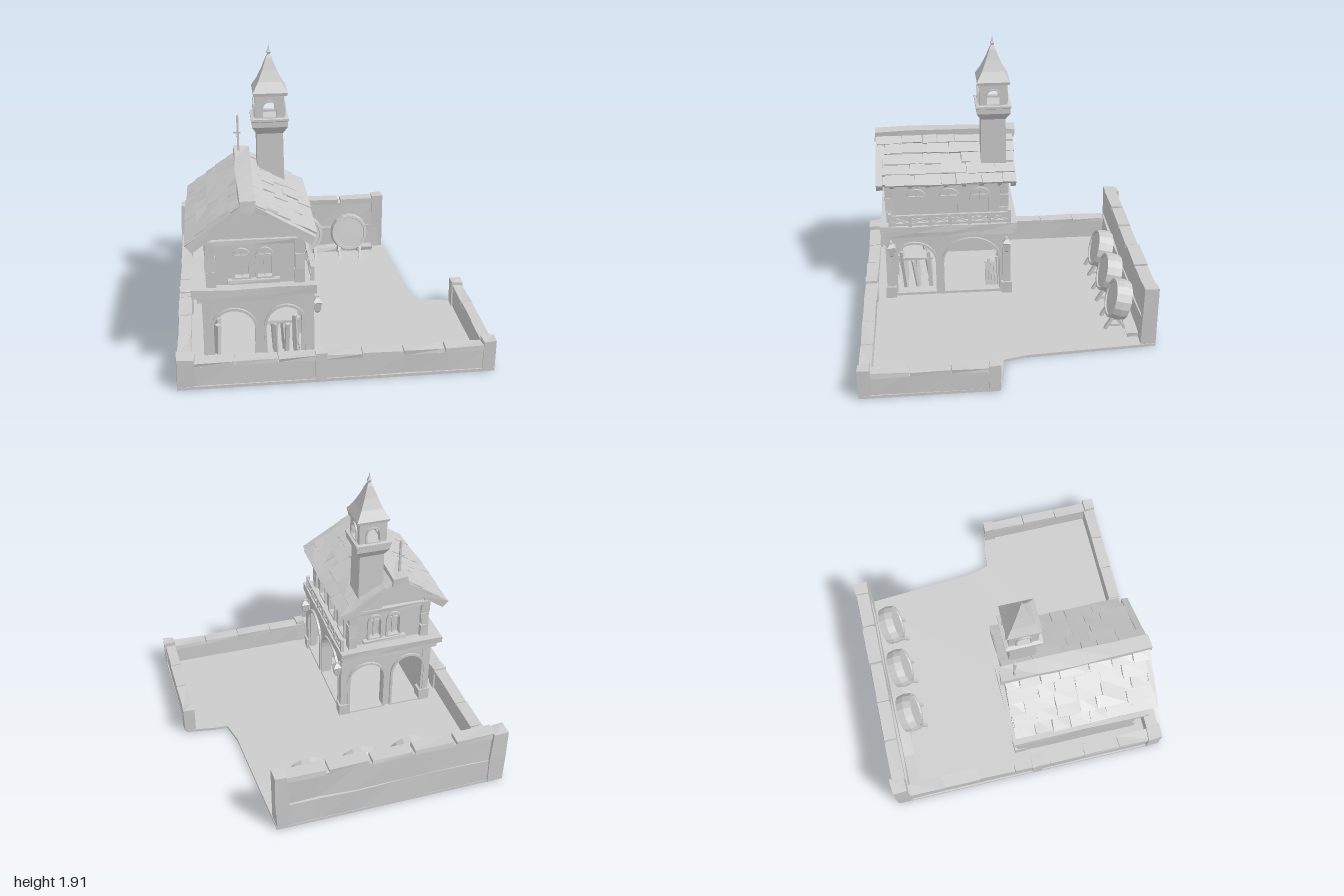
import * as THREE from 'three';

const mat = new THREE.MeshStandardMaterial({ color: 0xcccccc, flatShading: true, side: THREE.DoubleSide });
let seed = 7;
const rnd = () => (seed = (seed * 16807) % 2147483647) / 2147483647;

function add(parent, name, geo) {
  const m = new THREE.Mesh(geo, mat);
  m.name = name;
  parent.add(m);
  return m;
}

// Moves vertices a little; corners sharing a position move together
function roughen(geo, amount) {
  const p = geo.attributes.position, moved = new Map();
  for (let i = 0; i < p.count; i++) {
    const k = [p.getX(i), p.getY(i), p.getZ(i)].map(v => v.toFixed(3)).join();
    if (!moved.has(k)) moved.set(k, [0, 0, 0].map(() => (rnd() - 0.5) * 2 * amount));
    const d = moved.get(k);
    p.setXYZ(i, p.getX(i) + d[0], p.getY(i) + d[1], p.getZ(i) + d[2]);
  }
  geo.computeVertexNormals();
  return geo;
}

// Rough-hewn block given by its bounds
function block(parent, name, x0, x1, y0, y1, z0, z1, rough = 0.004) {
  const n = l => Math.max(1, Math.round(l / 0.25));
  const w = x1 - x0, h = y1 - y0, d = z1 - z0;
  const m = add(parent, name, roughen(new THREE.BoxGeometry(w, h, d, n(w), n(h), n(d)), rough));
  m.position.set((x0 + x1) / 2, (y0 + y1) / 2, (z0 + z1) / 2);
  return m;
}

// Square beam between two points
function beam(parent, name, a, b, t) {
  const A = new THREE.Vector3(...a), B = new THREE.Vector3(...b);
  const m = add(parent, name, new THREE.BoxGeometry(t, t, A.distanceTo(B)));
  m.position.copy(A).lerp(B, 0.5);
  m.lookAt(B);
  return m;
}

// Opening with an elliptical head: centre x, width, sill, spring line, top
function archPath(Type, [x, w, y0, ys, top], grow = 0) {
  const p = new Type(), r = w / 2 + grow;
  p.moveTo(x - r, y0 - grow);
  p.lineTo(x + r, y0 - grow);
  p.lineTo(x + r, ys);
  p.absellipse(x, ys, r, top - ys + grow, 0, Math.PI, false);
  p.closePath();
  return p;
}
const extrude = (shape, depth) => new THREE.ExtrudeGeometry(shape, { depth, bevelEnabled: false, curveSegments: 7 });

function wall(parent, name, outline, arches, depth) {
  const s = new THREE.Shape(outline.map(p => new THREE.Vector2(...p)));
  s.holes = arches.map(a => archPath(THREE.Path, a));
  return add(parent, name, extrude(s, depth));
}
function trim(parent, name, a, z, grow = 0.016) {
  const s = archPath(THREE.Shape, a, grow);
  s.holes = [archPath(THREE.Path, a)];
  add(parent, name, extrude(s, 0.018)).position.z = z;
}
// Frame, recessed pane and glazing bars; outward is +z
function windowUnit(parent, a, z) {
  trim(parent, 'windowFrame', a, z, 0.014);
  add(parent, 'windowPane', extrude(archPath(THREE.Shape, a), 0.008)).position.z = z - 0.035;
  block(parent, 'windowBar', a[0] - 0.005, a[0] + 0.005, a[2], a[4], z - 0.025, z - 0.012, 0);
  block(parent, 'windowBar', a[0] - a[1] / 2, a[0] + a[1] / 2, a[3] - 0.005, a[3] + 0.005, z - 0.025, z - 0.012, 0);
}
const rect = (x0, x1, y0, y1) => [[x0, y0], [x1, y0], [x1, y1], [x0, y1]];

// Four-sided turned form from [half width, height] pairs
function squareForm(parent, name, pts, x, z) {
  const geo = new THREE.LatheGeometry(pts.map(([r, y]) => new THREE.Vector2(r * Math.SQRT2, y)), 4);
  const m = add(parent, name, geo.rotateY(Math.PI / 4));
  m.position.set(x, 0, z);
  return m;
}

function buildYard(g) {
  const outline = [[-0.99, -0.98], [0.59, -0.98], [0.63, -0.4], [0.65, -0.1], [0.69, 0.06], [0.78, 0.065], [0.98, 0.1], [0.99, 0.99], [-0.99, 0.99]];
  const slab = new THREE.Shape(outline.map(([x, z]) => new THREE.Vector2(x, -z)));
  add(g, 'ground', extrude(slab, 0.02).rotateX(-Math.PI / 2));
  // Back wall in two courses
  block(g, 'backWall', -0.97, 0.57, 0.01, 0.2, -0.98, -0.88, 0.006);
  block(g, 'backWall', -0.97, 0.57, 0.2, 0.4, -0.97, -0.89, 0.006);
  for (let i = 0; i < 5; i++) block(g, 'backCoping', -0.9 + i * 0.29, -0.63 + i * 0.29, 0.395, 0.42 + rnd() * 0.02, -0.975, -0.885);
  block(g, 'backFooting', -0.9, 0.5, 0.01, 0.05, -0.9, -0.8, 0.012);
  // Low walls with capstones
  block(g, 'leftWall', -0.98, -0.91, 0.01, 0.17, -0.9, 0.92);
  block(g, 'frontWall', -0.9, 0.95, 0.01, 0.15, 0.91, 0.98);
  block(g, 'rightWall', 0.92, 0.98, 0.01, 0.15, 0.14, 0.95);
  for (let i = 0; i < 7; i++) {
    block(g, 'capstone', -0.985, -0.9, 0.165, 0.19, -0.89 + i * 0.26, -0.635 + i * 0.26);
    block(g, 'capstone', -0.89 + i * 0.26, -0.635 + i * 0.26, 0.15, 0.18, 0.9, 0.985);
  }
  for (let i = 0; i < 3; i++) block(g, 'capstone', 0.915, 0.985, 0.15, 0.18, 0.15 + i * 0.26, 0.405 + i * 0.26);
  // Posts: x0, x1, height, z0, z1
  for (const [x0, x1, h, z0, z1] of [[-0.99, -0.88, 0.43, -0.99, -0.89], [0.51, 0.59, 0.45, -0.98, -0.88], [-0.99, -0.88, 0.21, 0.89, 0.99],
    [0.91, 0.99, 0.21, 0.91, 0.99], [0.91, 0.99, 0.2, 0.1, 0.17], [-0.14, -0.07, 0.2, 0.9, 0.99], [-0.99, -0.9, 0.2, 0.02, 0.09]])
    block(g, 'wallPost', x0, x1, 0.01, h, z0, z1, 0.006);
}

function buildCask(g, x) {
  const cask = new THREE.Group();
  cask.name = 'cask';
  const prof = [[0, -0.045], [0.115, -0.045], [0.118, -0.055], [0.135, -0.055], [0.145, 0], [0.135, 0.055], [0.118, 0.055], [0.115, 0.045], [0, 0.045]];
  const body = add(cask, 'caskBody', new THREE.LatheGeometry(prof.map(p => new THREE.Vector2(...p)), 16).rotateX(Math.PI / 2));
  body.position.set(0, 0.205, 0);
  body.rotation.x = -0.25;
  for (const s of [-1, 1]) {
    beam(cask, 'caskLeg', [s * 0.08, 0.02, 0.1], [s * 0.08, 0.13, 0.04], 0.022);
    beam(cask, 'caskLeg', [s * 0.08, 0.02, -0.04], [s * 0.08, 0.13, 0.04], 0.022);
    beam(cask, 'caskBrace', [s * 0.08, 0.05, 0.08], [s * 0.08, 0.05, -0.03], 0.016);
  }
  cask.position.set(x, 0, -0.77);
  g.add(cask);
}

function buildHouse(g) {
  // Lower storey: solid left side, arcades elsewhere
  block(g, 'lowerLeftWall', -0.82, -0.76, 0.02, 0.52, -0.05, 0.82, 0.002);
  const ends = [[-0.63, 0.26, 0.03, 0.31, 0.44], [-0.31, 0.24, 0.03, 0.31, 0.45]];
  const sides = [[-0.63, 0.3, 0.05, 0.3, 0.45], [-0.22, 0.4, 0.05, 0.29, 0.47]];
  const front = new THREE.Group(), back = new THREE.Group(), right = new THREE.Group(), left = new THREE.Group();
  [[front, 'houseFront'], [back, 'houseBack'], [right, 'houseRight'], [left, 'houseLeft']].forEach(([o, n]) => { o.name = n; g.add(o); });
  // Ends are built as one facade; the rear is turned about the house centre
  back.rotation.y = Math.PI;
  back.position.set(-0.96, 0, 0.77);
  right.rotation.y = left.rotation.y = Math.PI / 2;
  left.scale.z = -1;
  left.position.x = -0.97;
  const gable = [[-0.76, 0.58], [-0.22, 0.58], [-0.22, 0.93], [-0.52, 1.13], [-0.76, 0.95]];
  const endWindows = [-0.57, -0.43].map(x => [x, 0.085, 0.65, 0.78, 0.83]);
  for (const [f, off] of [[front, 0], [back, 0.0]]) {
    wall(f, 'arcadeWall', rect(-0.8, -0.15, 0.01, 0.53), ends, 0.06).position.z = 0.76 + off;
    ends.forEach(a => trim(f, 'archTrim', a, 0.818 + off));
    wall(f, 'gableWall', f === front ? gable : gable.map(([x, y]) => [-0.96 - x, y]), endWindows, 0.04).position.z = 0.75 + off;
    endWindows.forEach(a => windowUnit(f, a, 0.788));
    block(f, 'gableBeam', -0.78, -0.2, 0.87, 0.9, 0.785, 0.815);
    block(f, 'windowSill', -0.66, -0.34, 0.615, 0.64, 0.785, 0.82);
  }
  wall(right, 'arcadeWall', rect(-0.82, 0.05, 0.01, 0.53), sides, 0.06).position.z = -0.21;
  sides.forEach(a => trim(right, 'archTrim', a, -0.152));
  const rightWin = [-0.6, -0.37, -0.15].map(x => [x, 0.12, 0.62, 0.78, 0.84]);
  const leftWin = [-0.7, -0.54, -0.38, -0.22, -0.06].map(x => [x, 0.085, 0.65, 0.78, 0.84]);
  for (const [f, list] of [[right, rightWin], [left, leftWin]]) {
    wall(f, 'upperWall', rect(-0.79, 0.02, 0.58, 0.93), list, 0.04).position.z = -0.25;
    list.forEach(a => windowUnit(f, a, -0.212));
    block(f, 'wallPlate', -0.81, 0.04, 0.89, 0.93, -0.22, -0.18);
  }
  // Corner stones, feet and the floor ledge
  for (const x of [-0.81, -0.19]) for (const z of [-0.06, 0.78]) {
    block(g, 'lowerPillar', x, x + 0.055, 0.02, 0.52, z, z + 0.055, 0.003);
    block(g, 'pillarFoot', x - 0.012, x + 0.067, 0.01, 0.11, z - 0.012, z + 0.067);
  }
  for (const x of [-0.79, -0.25]) for (const z of [-0.05, 0.76])
    for (let i = 0; i < 3; i++) block(g, 'cornerStone', x, x + 0.06, 0.6 + i * 0.1, 0.697 + i * 0.1, z, z + 0.06, 0.005);
  block(g, 'floorSlab', -0.85, -0.135, 0.51, 0.55, -0.08, 0.84);
  block(g, 'floorLedge', -0.88, -0.12, 0.55, 0.6, -0.1, 0.86, 0.006);
  // Balcony with crossed rails
  for (const y of [0.615, 0.675]) beam(g, 'balconyRail', [-0.14, y, -0.06], [-0.14, y, 0.8], 0.018);
  for (let i = 0; i <= 6; i++) {
    const z = -0.05 + i * 0.14;
    block(g, 'balconyPost', -0.152, -0.128, 0.59, i % 6 ? 0.68 : 0.7, z - 0.012, z + 0.012, 0.002);
    if (i < 6) for (const s of [0, 1]) beam(g, 'balconyCross', [-0.14, 0.615 + s * 0.06, z], [-0.14, 0.675 - s * 0.06, z + 0.14], 0.01);
  }
  // Corner lanterns
  for (const z of [-0.03, 0.79]) {
    squareForm(g, 'lantern', [[0, 0.37], [0.018, 0.39], [0.026, 0.45], [0.03, 0.455], [0, 0.49]], -0.11, z);
    beam(g, 'lanternArm', [-0.16, 0.485, z], [-0.1, 0.485, z], 0.012);
  }
  // Stock standing inside the arcade
  block(g, 'counterTop', -0.44, -0.22, 0.27, 0.29, 0.5, 0.72);
  for (let i = 0; i < 12; i++) {
    const x = -0.43 + (i % 4) * 0.065, z = 0.52 + Math.floor(i / 4) * 0.09;
    beam(g, 'storedPlank', [x, 0.02, z], [x + rnd() * 0.04 - 0.02, 0.27 + rnd() * 0.07, z + rnd() * 0.05], 0.025);
  }
  for (let i = 0; i < 5; i++) {
    beam(g, 'leaningPlank', [-0.2, 0.02, 0.02 + i * 0.022], [-0.23, 0.22 + rnd() * 0.1, 0.03 + i * 0.02], 0.02);
    beam(g, 'sidePlank', [-0.74, 0.02, 0.45 + i * 0.06], [-0.73, 0.22 + rnd() * 0.06, 0.46 + i * 0.06], 0.03);
  }
}

function buildRoof(g) {
  for (const [s, dx, dy] of [[-1, 0.35, 0.25], [1, 0.39, 0.23]]) {
    const slope = new THREE.Group(), len = Math.hypot(dx, dy);
    slope.name = s < 0 ? 'leftRoof' : 'rightRoof';
    slope.position.set(-0.53, 1.15, 0);
    slope.rotation.z = -s * Math.atan2(dy, dx);
    const part = (name, a, b, y0, y1, z0, z1, r) => block(slope, name, Math.min(s * a, s * b), Math.max(s * a, s * b), y0, y1, z0, z1, r);
    part('roofDeck', 0, len - 0.01, -0.03, 0, -0.09, 0.86, 0.002);
    // Overlapping rows of uneven shingles
    for (let row = 0; row < 5; row++) {
      let z = -0.105 + rnd() * 0.015;
      while (z < 0.8) {
        const e = Math.min(z + 0.09 + rnd() * 0.12, 0.87), a = row * len / 5, lift = rnd() * 0.008;
        const tile = part('shingle', a, a + len / 5 + 0.015 + rnd() * 0.012, lift, lift + 0.016, z, e - 0.004, 0.004);
        tile.rotation.z = s * 0.08;
        z = e;
      }
    }
    for (const z of [-0.1, 0.83]) part('bargeBoard', 0, len + 0.01, -0.04, 0.015, z, z + 0.04, 0.004);
    for (let i = 0; i < 7; i++) part('rafterEnd', len - 0.12, len - 0.005, -0.05, -0.025, i * 0.125, i * 0.125 + 0.03, 0.002);
    g.add(slope);
  }
  block(g, 'ridgeBeam', -0.58, -0.48, 1.11, 1.18, -0.12, 0.88, 0.008);
  beam(g, 'roofPole', [-0.55, 1.15, -0.03], [-0.55, 1.42, -0.03], 0.014);
  beam(g, 'poleCrossbar', [-0.58, 1.3, -0.03], [-0.53, 1.3, -0.03], 0.01);
}

function buildTower(g) {
  const x = -0.345, z = 0.05;
  squareForm(g, 'towerShaft', [[0.09, 0.9], [0.085, 1.34], [0.115, 1.39], [0.115, 1.44], [0, 1.44]], x, z);
  squareForm(g, 'towerRim', [[0.115, 1.425], [0.122, 1.43], [0.122, 1.445], [0.1, 1.45]], x, z);
  const belfry = new THREE.Group();
  belfry.name = 'belfry';
  belfry.position.set(x, 0, z);
  for (let i = 0; i < 4; i++) {
    const face = new THREE.Group();
    face.name = 'belfryFace';
    face.rotation.y = i * Math.PI / 2;
    const a = [0, 0.085, 1.455, 1.51, 1.555];
    wall(face, 'belfryWall', rect(-0.095, 0.095, 1.44, 1.605), [a], 0.025).position.z = 0.07;
    trim(face, 'belfryTrim', a, 0.087, 0.01);
    belfry.add(face);
  }
  add(belfry, 'bell', new THREE.CylinderGeometry(0.014, 0.028, 0.04, 8)).position.y = 1.55;
  g.add(belfry);
  squareForm(g, 'towerRoof', [[0, 1.6], [0.108, 1.595], [0.112, 1.615], [0.075, 1.68], [0.045, 1.75], [0.02, 1.82], [0.008, 1.845], [0.013, 1.86], [0.006, 1.875], [0, 1.915]], x + 0.005, z);
}

export function createModel() {
  seed = 7;
  const root = new THREE.Group();
  root.name = 'walledHouse';
  const parts = { yard: buildYard, house: buildHouse, roof: buildRoof, tower: buildTower };
  for (const [name, build] of Object.entries(parts)) {
    const g = new THREE.Group();
    g.name = name;
    build(g);
    root.add(g);
  }
  for (const x of [-0.39, -0.04, 0.31]) buildCask(root, x);
  return root;
}
